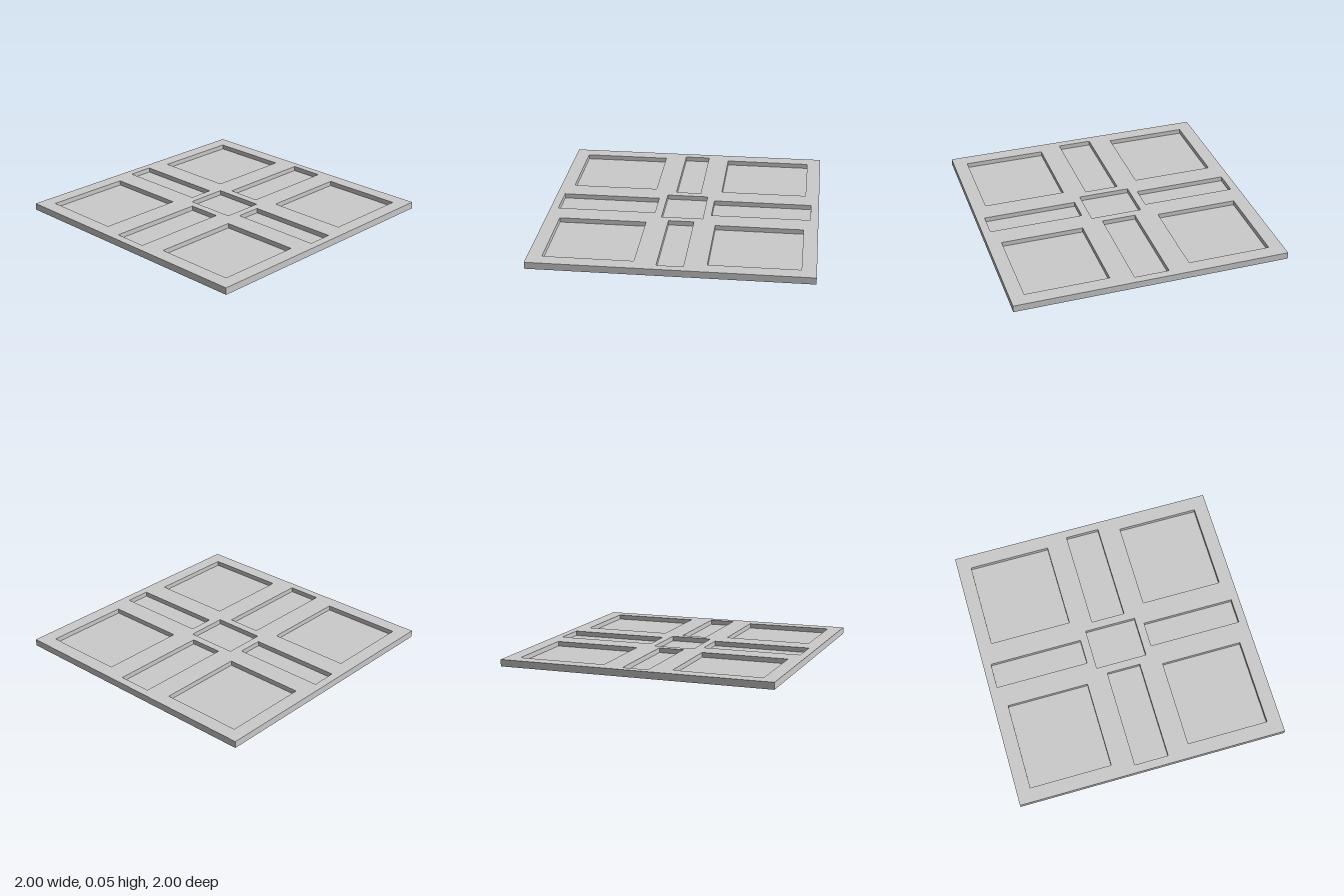
import * as THREE from 'three';

const SIZE = 2, HEIGHT = 0.05, FLOOR = 0.015;

// Rectangle outline added to a path, centred on (x, z)
function rect(path, x, z, w, d) {
  path.moveTo(x - w / 2, z - d / 2);
  path.lineTo(x + w / 2, z - d / 2);
  path.lineTo(x + w / 2, z + d / 2);
  path.lineTo(x - w / 2, z + d / 2);
  path.closePath();
  return path;
}

export function createModel() {
  const group = new THREE.Group();
  group.name = 'recessedPanel';
  const material = new THREE.MeshStandardMaterial({ color: 0xcccccc, flatShading: true });

  // Pockets as [x, z, width, depth]: centre, then mirrored strips and corners
  const pockets = [[0, 0, 0.382, 0.306]];
  for (const s of [-1, 1]) {
    pockets.push([s * 0.595, 0, 0.692, 0.188]);
    pockets.push([0, s * 0.576, 0.252, 0.73]);
    for (const t of [-1, 1]) pockets.push([s * 0.594, t * 0.575, 0.606, 0.642]);
  }

  // Frame with pocket openings, from the base up to the full height
  const outline = rect(new THREE.Shape(), 0, 0, SIZE, SIZE);
  outline.holes = pockets.map((p) => rect(new THREE.Path(), ...p));
  const frameGeometry = new THREE.ExtrudeGeometry(outline, { depth: HEIGHT, bevelEnabled: false });
  frameGeometry.rotateX(-Math.PI / 2);
  const frame = new THREE.Mesh(frameGeometry, material);
  frame.name = 'frame';
  group.add(frame);

  // Floor block closing each pocket, flush with the underside
  for (const [x, z, w, d] of pockets) {
    const floor = new THREE.Mesh(new THREE.BoxGeometry(w, FLOOR, d), material);
    floor.position.set(x, FLOOR / 2, z);
    floor.name = 'pocketFloor';
    group.add(floor);
  }
  return group;
}
